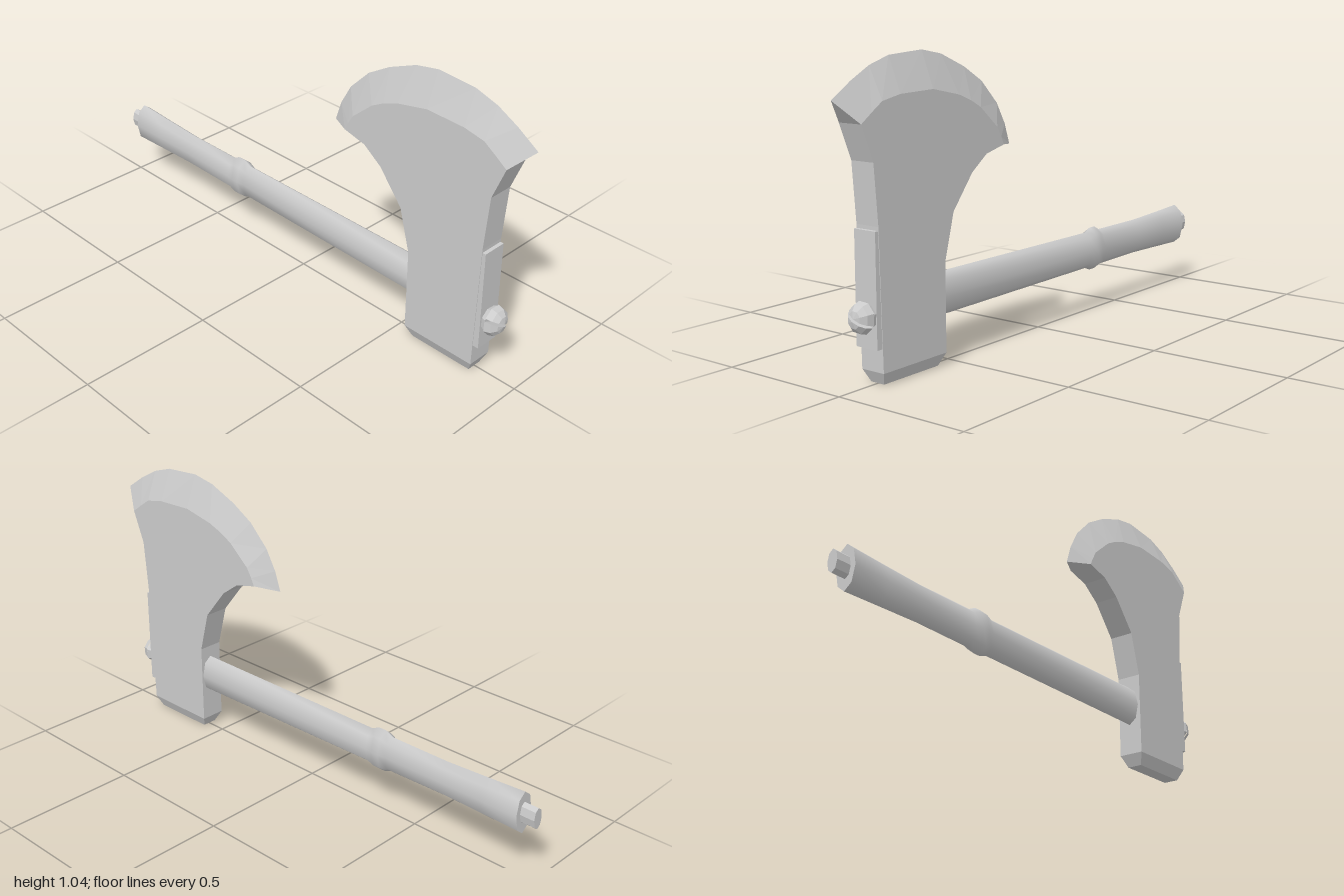
import * as THREE from 'three';
import { mergeVertices } from 'three/addons/utils/BufferGeometryUtils.js';

const grey = new THREE.MeshStandardMaterial({ color: 0xcccccc });
const faceted = new THREE.MeshStandardMaterial({ color: 0xcccccc, flatShading: true });
const facetedDouble = new THREE.MeshStandardMaterial({ color: 0xcccccc, flatShading: true, side: THREE.DoubleSide });

function part(name, geometry, material, parent) {
  const mesh = new THREE.Mesh(geometry, material);
  mesh.name = name;
  parent.add(mesh);
  return mesh;
}

// Profiles are [z, y] pairs, anticlockwise with z to the right.
const lower = [[0.556, 0.043], [0.85, 0.043], [0.861, 0.51], [0.877, 0.71]];
const shoulder = [[0.925, 0.83], [0.88, 0.862], [0.834, 0.893], [0.754, 0.909], [0.604, 0.914], [0.48, 0.888],
  [0.42, 0.865], [0.37, 0.838], [0.285, 0.765], [0.264, 0.73], [0.25, 0.702]];
const cuttingEdge = [[1, 0.904], [0.92, 0.957], [0.84, 1.0], [0.754, 1.027], [0.604, 1.037], [0.513, 1.02],
  [0.4, 0.973], [0.31, 0.92], [0.23, 0.84], [0.187, 0.765], [0.162, 0.692]];
const backCurve = [[0.342, 0.68], [0.417, 0.626], [0.513, 0.508], [0.556, 0.35]];
const foot = [[0.578, 0], [0.83, 0]];

function bladeGeometry() {
  const h = 0.047, footH = 0.028, pos = [];
  const at = (p, x) => [x, p[1], p[0]];
  const tri = (a, b, c) => pos.push(...a, ...b, ...c);
  const quad = (a, b, c, d) => { tri(a, b, c); tri(a, c, d); };
  const outline = [...lower, ...shoulder, ...backCurve];

  // flat cheeks
  const flat = outline.map(([z, y]) => new THREE.Vector2(z, y));
  for (const [i, j, k] of THREE.ShapeUtils.triangulateShape(flat, [])) {
    const [a, b, c] = [outline[i], outline[j], outline[k]];
    tri(at(a, -h), at(b, -h), at(c, -h));
    tri(at(c, h), at(b, h), at(a, h));
  }

  // front and back walls, and the ground bevel along the cutting edge
  const first = lower.length, last = first + shoulder.length - 1;
  for (let i = 1; i < outline.length; i++) {
    const a = outline[i], b = outline[(i + 1) % outline.length];
    if (i >= first && i < last) {
      const ea = at(cuttingEdge[i - first], 0), eb = at(cuttingEdge[i - first + 1], 0);
      quad(at(b, -h), at(a, -h), ea, eb);
      quad(at(a, h), at(b, h), eb, ea);
    } else {
      quad(at(b, -h), at(a, -h), at(a, h), at(b, h));
    }
  }
  // pointed horns
  tri(at(outline[first], -h), at(outline[first], h), at(cuttingEdge[0], 0));
  tri(at(outline[last], h), at(outline[last], -h), at(cuttingEdge.at(-1), 0));

  // chamfered foot
  const [a, b] = lower, [c, d] = foot;
  quad(at(d, -footH), at(c, -footH), at(c, footH), at(d, footH));
  quad(at(b, -h), at(a, -h), at(c, -footH), at(d, -footH));
  quad(at(a, h), at(b, h), at(d, footH), at(c, footH));
  quad(at(a, -h), at(a, h), at(c, footH), at(c, -footH));
  quad(at(b, h), at(b, -h), at(d, -footH), at(d, footH));

  const geo = new THREE.BufferGeometry();
  geo.setAttribute('position', new THREE.Float32BufferAttribute(pos, 3));
  geo.computeVertexNormals();
  return geo;
}

// Oval shaft from rings of [z, centre y, half width, half height], back end first
function shaftGeometry(rings, sides) {
  const pos = [], index = [];
  for (const [z, y, w, t] of rings) {
    for (let i = 0; i < sides; i++) {
      const a = (i / sides) * Math.PI * 2;
      pos.push(w * Math.cos(a), y + t * Math.sin(a), z);
    }
  }
  for (let r = 0; r < rings.length - 1; r++) {
    for (let i = 0; i < sides; i++) {
      const j = (i + 1) % sides, a = r * sides + i, b = r * sides + j;
      index.push(a, b, b + sides, a, b + sides, a + sides);
    }
  }
  const geo = new THREE.BufferGeometry();
  geo.setAttribute('position', new THREE.Float32BufferAttribute(pos, 3));
  geo.setIndex(index);
  const smooth = mergeVertices(geo);
  smooth.computeVertexNormals();
  return smooth;
}

// Oval end cap facing backwards
function addCap(name, [z, y, w, t], sides, parent) {
  const cap = part(name, new THREE.CircleGeometry(1, sides), grey, parent);
  cap.rotation.y = Math.PI;
  cap.scale.set(w, t, 1);
  cap.position.set(0, y, z);
}

export function createModel() {
  const model = new THREE.Group();
  model.name = 'axe';

  part('blade', bladeGeometry(), faceted, model).position.x = -0.002;

  // handle with a grip ring and a flared butt
  const handle = new THREE.Group();
  handle.name = 'handle';
  model.add(handle);
  const rings = [[-0.945, 0.242, 0.041, 0.079], [-0.8, 0.24, 0.038, 0.073], [-0.63, 0.238, 0.035, 0.067],
    [-0.385, 0.236, 0.036, 0.069], [-0.355, 0.238, 0.042, 0.082], [-0.325, 0.238, 0.042, 0.082],
    [-0.295, 0.236, 0.036, 0.069], [0.58, 0.232, 0.04, 0.075]];
  part('shaft', shaftGeometry(rings, 8), grey, handle);
  addCap('shaftEnd', rings[0], 8, handle);
  const nub = [[-1, 0.243, 0.021, 0.04], [-0.94, 0.243, 0.021, 0.04]];
  part('buttPin', shaftGeometry(nub, 8), faceted, handle);
  addCap('buttPinEnd', nub[0], 8, handle);

  // plate set on the front of the blade
  part('frontPlate', new THREE.BoxGeometry(0.09, 0.375, 0.034), faceted, model).position.set(-0.002, 0.31, 0.857);

  // slotted screw: a neck and two half domes with a gap between
  const screw = new THREE.Group();
  screw.name = 'screw';
  screw.position.set(0, 0.225, 0.887);
  screw.rotation.z = -0.46;
  model.add(screw);
  const neck = part('screwNeck', new THREE.CylinderGeometry(0.051, 0.042, 0.022, 8), faceted, screw);
  neck.rotation.x = Math.PI / 2;
  neck.position.z = -0.006;
  for (const side of [0, 1]) {
    const half = new THREE.Group();
    half.name = 'screwHalf';
    half.rotation.z = side * Math.PI;
    screw.add(half);
    const dome = new THREE.Group();
    dome.name = 'screwDome';
    dome.rotation.x = Math.PI / 2;
    dome.scale.y = 0.9;
    dome.position.set(0, -0.005, 0.004);
    half.add(dome);
    part('domeShell', new THREE.SphereGeometry(0.05, 4, 3, 0, Math.PI, 0, Math.PI / 2), faceted, dome);
    part('slotWall', new THREE.CircleGeometry(0.05, 6, 0, Math.PI), facetedDouble, dome);
  }
  return model;
}
